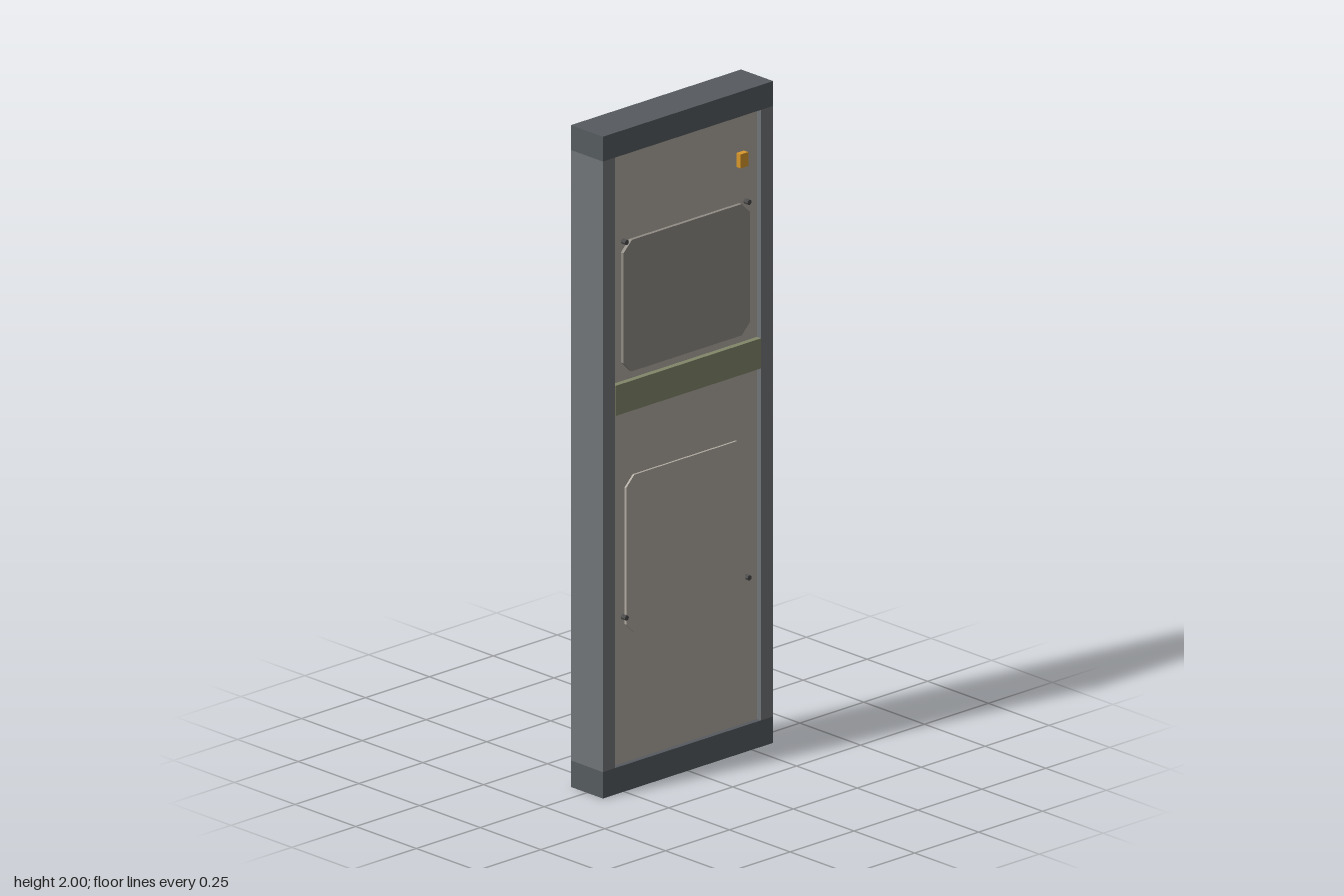
import * as THREE from 'three';

const mat = (color) => new THREE.MeshStandardMaterial({ color, flatShading: true });
const frameDark = mat(0x565b5f);
const frameGrey = mat(0x717477);
const panelGrey = mat(0xb0aaa0);
const plateGrey = mat(0x8f8a83);
const bandGreen = mat(0x82876a);
const amber = mat(0xd9972b);
const boltDark = mat(0x4a4a4a);

export function createModel() {
  const model = new THREE.Group();

  const add = (name, geometry, material, x = 0, y = 0, z = 0) => {
    const mesh = new THREE.Mesh(geometry, material);
    mesh.name = name;
    mesh.position.set(x, y, z);
    model.add(mesh);
    return mesh;
  };

  // Box spanning y0..y1, centred on z
  const slab = (name, w, y0, y1, d, material, x = 0) =>
    add(name, new THREE.BoxGeometry(w, y1 - y0, d), material, x, (y0 + y1) / 2);

  // Plate with cut corners, passing through the panel so it shows on both sides
  const cutPlate = (name, hw, y0, y1, cut, d, material) => {
    const shape = new THREE.Shape([
      [-hw + cut, y0], [hw - cut, y0], [hw, y0 + cut], [hw, y1 - cut],
      [hw - cut, y1], [-hw + cut, y1], [-hw, y1 - cut], [-hw, y0 + cut],
    ].map(([x, y]) => new THREE.Vector2(x, y)));
    const geometry = new THREE.ExtrudeGeometry(shape, { depth: d, bevelEnabled: false });
    add(name, geometry.translate(0, 0, -d / 2), material);
  };

  // Outer frame
  slab('topRail', 0.666, 1.925, 2, 0.132, frameDark);
  slab('bottomRail', 0.666, 0, 0.08, 0.132, frameDark);
  for (const [side, s] of [['left', 1], ['right', -1]]) {
    slab(`${side}Post`, 0.048, 0.08, 1.925, 0.132, frameGrey, s * 0.309);
  }

  // Recessed panel and middle band
  slab('doorPanel', 0.572, 0.08, 1.925, 0.1, panelGrey);
  slab('middleBand', 0.57, 1.144, 1.235, 0.134, bandGreen);

  // Raised plates
  cutPlate('upperPlate', 0.247, 1.26, 1.657, 0.032, 0.122, plateGrey);
  cutPlate('lowerPlate', 0.233, 0.466, 0.943, 0.032, 0.114, panelGrey);

  // Fittings on both faces
  const boltGeometry = new THREE.CylinderGeometry(0.008, 0.008, 0.02, 8).rotateX(Math.PI / 2);
  for (const z of [1, -1]) {
    add('indicator', new THREE.BoxGeometry(0.03, 0.042, 0.02), amber, 0.219, 1.79, z * 0.058);
    for (const x of [-0.24, 0.24]) {
      for (const y of [0.522, 1.657]) add('bolt', boltGeometry, boltDark, x, y, z * 0.057);
    }
  }

  return model;
}
